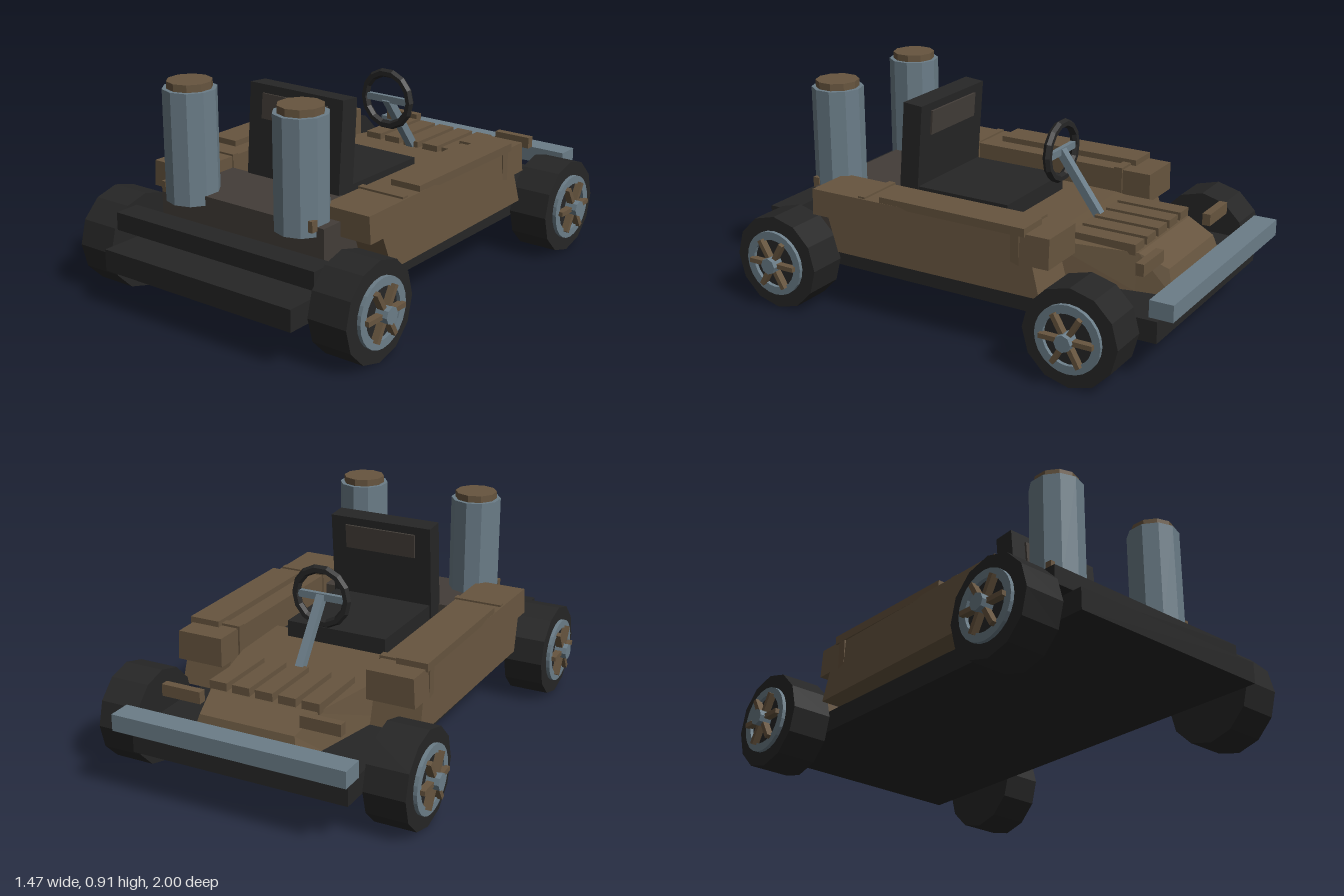
import * as THREE from 'three';

const mat = (name, color) => {
  const m = new THREE.MeshStandardMaterial({ color });
  m.name = name;
  return m;
};

export function createModel() {
  const car = new THREE.Group();
  car.name = 'buggy';
  const brown = mat('brown panel', 0x67553f);
  const steel = mat('blue grey steel', 0x6b7d88);
  const black = mat('black', 0x262626);
  const grey = mat('dark warm grey', 0x433d38);

  // Faceted mesh
  const add = (name, geo, material, x = 0, y = 0, z = 0, parent = car) => {
    const g = geo.index ? geo.toNonIndexed() : geo;
    g.computeVertexNormals();
    const mesh = new THREE.Mesh(g, material);
    mesh.name = name;
    mesh.position.set(x, y, z);
    parent.add(mesh);
    return mesh;
  };
  // Box from its limits
  const box = (name, material, x0, x1, y0, y1, z0, z1, parent = car) =>
    add(name, new THREE.BoxGeometry(x1 - x0, y1 - y0, z1 - z0), material,
      (x0 + x1) / 2, (y0 + y1) / 2, (z0 + z1) / 2, parent);
  // Box between mirrored limits on both sides
  const pair = (name, material, x0, x1, ...rest) => {
    box(name + 'Left', material, x0, x1, ...rest);
    box(name + 'Right', material, -x1, -x0, ...rest);
  };

  // Chassis and bumpers
  box('chassis', black, -0.475, 0.475, 0.16, 0.25, -0.92, 1);
  box('noseBumper', steel, -0.51, 0.51, 0.28, 0.35, -1, -0.9);
  box('tailBar', black, -0.505, 0.505, 0.295, 0.37, 0.79, 0.9);

  // Cockpit floor and engine deck
  box('engineDeck', grey, -0.415, 0.415, 0.265, 0.46, 0.4, 0.73);
  box('cockpitFloor', grey, -0.33, 0.33, 0.25, 0.4, 0.12, 0.4);
  box('footwell', black, -0.33, 0.33, 0.25, 0.38, -0.04, 0.12);

  // Hood lofted from trapezoid sections: [z bottom, z top, half width bottom, half width top, top y]
  const sections = [
    [-0.87, -0.84, 0.235, 0.21, 0.35],
    [-0.72, -0.72, 0.262, 0.235, 0.4],
    [-0.34, -0.34, 0.34, 0.32, 0.41],
    [-0.04, -0.04, 0.34, 0.33, 0.41],
  ];
  const pos = [], idx = [];
  for (const [zb, zt, wb, wt, y] of sections)
    pos.push(-wb, 0.25, zb, wb, 0.25, zb, wt, y, zt, -wt, y, zt);
  for (let s = 0; s < sections.length - 1; s++)
    for (let k = 0; k < 4; k++) {
      const a = s * 4 + k, b = s * 4 + (k + 1) % 4;
      idx.push(a, b, b + 4, a, b + 4, a + 4);
    }
  const e = (sections.length - 1) * 4;
  idx.push(0, 2, 1, 0, 3, 2, e, e + 1, e + 2, e, e + 2, e + 3);
  const hood = new THREE.BufferGeometry();
  hood.setAttribute('position', new THREE.Float32BufferAttribute(pos, 3));
  hood.setIndex(idx);
  add('hood', hood, brown);
  for (let i = -2; i <= 2; i++)
    box('hoodLouver', brown, i * 0.103 - 0.039, i * 0.103 + 0.039, 0.39, 0.435, -0.71, -0.42);
  pair('noseLamp', brown, 0.22, 0.395, 0.38, 0.43, -0.82, -0.785);

  // Side pods: extruded side profile, outer face flaring to the rear and the bottom
  const profile = [[0.63, 0.51], [0.63, 0.4], [0.55, 0.4], [0.5, 0.26], [-0.455, 0.26],
    [-0.42, 0.385], [-0.49, 0.385], [-0.49, 0.51]];
  for (const side of [1, -1]) {
    const shape = new THREE.Shape(profile.map(([z, y]) => new THREE.Vector2(-z, y)));
    const g = new THREE.ExtrudeGeometry(shape, { depth: 1, bevelEnabled: false });
    g.rotateY(Math.PI / 2);
    const p = g.attributes.position;
    for (let i = 0; i < p.count; i++) {
      const outer = 0.532 + 0.018 * (p.getZ(i) + 0.49) / 1.12 + (0.51 - p.getY(i)) * 0.06;
      const outward = side > 0 ? p.getX(i) : 1 - p.getX(i);
      p.setX(i, side * (0.33 + outward * (outer - 0.33)));
    }
    add(side > 0 ? 'sidePodLeft' : 'sidePodRight', g, brown);
  }
  pair('podTopTrim', brown, 0.407, 0.543, 0.5, 0.535, -0.385, 0.295);
  pair('podFrontStrap', brown, 0.322, 0.542, 0.37, 0.52, -0.36, -0.322);
  pair('podRearStrap', brown, 0.325, 0.54, 0.4, 0.518, 0.37, 0.402);

  // Seat with tilted back and head pad
  box('seatCushion', black, -0.23, 0.23, 0.38, 0.48, -0.12, 0.34);
  const seatBack = new THREE.Group();
  seatBack.name = 'seatBack';
  seatBack.position.set(0, 0.63, 0.352);
  seatBack.rotation.x = -0.08;
  car.add(seatBack);
  box('backRest', black, -0.237, 0.237, -0.21, 0.21, -0.045, 0.045, seatBack);
  box('headPad', grey, -0.165, 0.165, 0.07, 0.175, -0.054, 0.054, seatBack);

  // Steering wheel and column
  add('steeringWheel', new THREE.TorusGeometry(0.117, 0.019, 6, 14), black, 0, 0.67, -0.24);
  box('steeringSpoke', steel, -0.11, 0.11, 0.655, 0.685, -0.25, -0.23);
  const column = add('steeringColumn', new THREE.BoxGeometry(0.035, 0.035, 0.34), steel, 0, 0.535, -0.34);
  column.rotation.x = -Math.atan2(0.27, 0.2);

  // Exhaust stacks
  for (const s of [1, -1]) {
    add('stack', new THREE.CylinderGeometry(0.11, 0.11, 0.46, 10), steel, s * 0.28, 0.65, 0.69);
    add('stackCap', new THREE.CylinderGeometry(0.092, 0.092, 0.04, 10), brown, s * 0.28, 0.89, 0.69);
  }
  pair('stackBracket', brown, 0.365, 0.385, 0.445, 0.49, 0.73, 0.76);

  // Axles and wheels
  const ring = new THREE.Shape().absarc(0, 0, 0.14, 0, Math.PI * 2);
  ring.holes.push(new THREE.Path().absarc(0, 0, 0.105, 0, Math.PI * 2, true));
  for (const z of [0.738, -0.66]) {
    add('axle', new THREE.CylinderGeometry(0.023, 0.023, 1.2, 8).rotateZ(Math.PI / 2), steel, 0, 0.203, z);
    for (const s of [1, -1]) {
      const wheel = new THREE.Group();
      wheel.name = 'wheel';
      wheel.position.set(0, 0.203, z);
      if (s < 0) wheel.rotation.y = Math.PI;
      car.add(wheel);
      add('tyre', new THREE.CylinderGeometry(0.203, 0.203, 0.175, 12).rotateZ(Math.PI / 2),
        black, 0.5925, 0, 0, wheel);
      add('rim', new THREE.ExtrudeGeometry(ring, { depth: 0.017, bevelEnabled: false, curveSegments: 12 })
        .rotateY(Math.PI / 2), steel, 0.679, 0, 0, wheel);
      for (let i = 0; i < 6; i++) {
        const spoke = new THREE.BoxGeometry(0.03, 0.02, 0.095).translate(0, 0, 0.066);
        add('spoke', spoke.rotateX(i * Math.PI / 3), brown, 0.7, 0, 0, wheel);
      }
      add('hub', new THREE.CylinderGeometry(0.035, 0.035, 0.06, 8).rotateZ(Math.PI / 2),
        steel, 0.705, 0, 0, wheel);
    }
  }
  return car;
}
